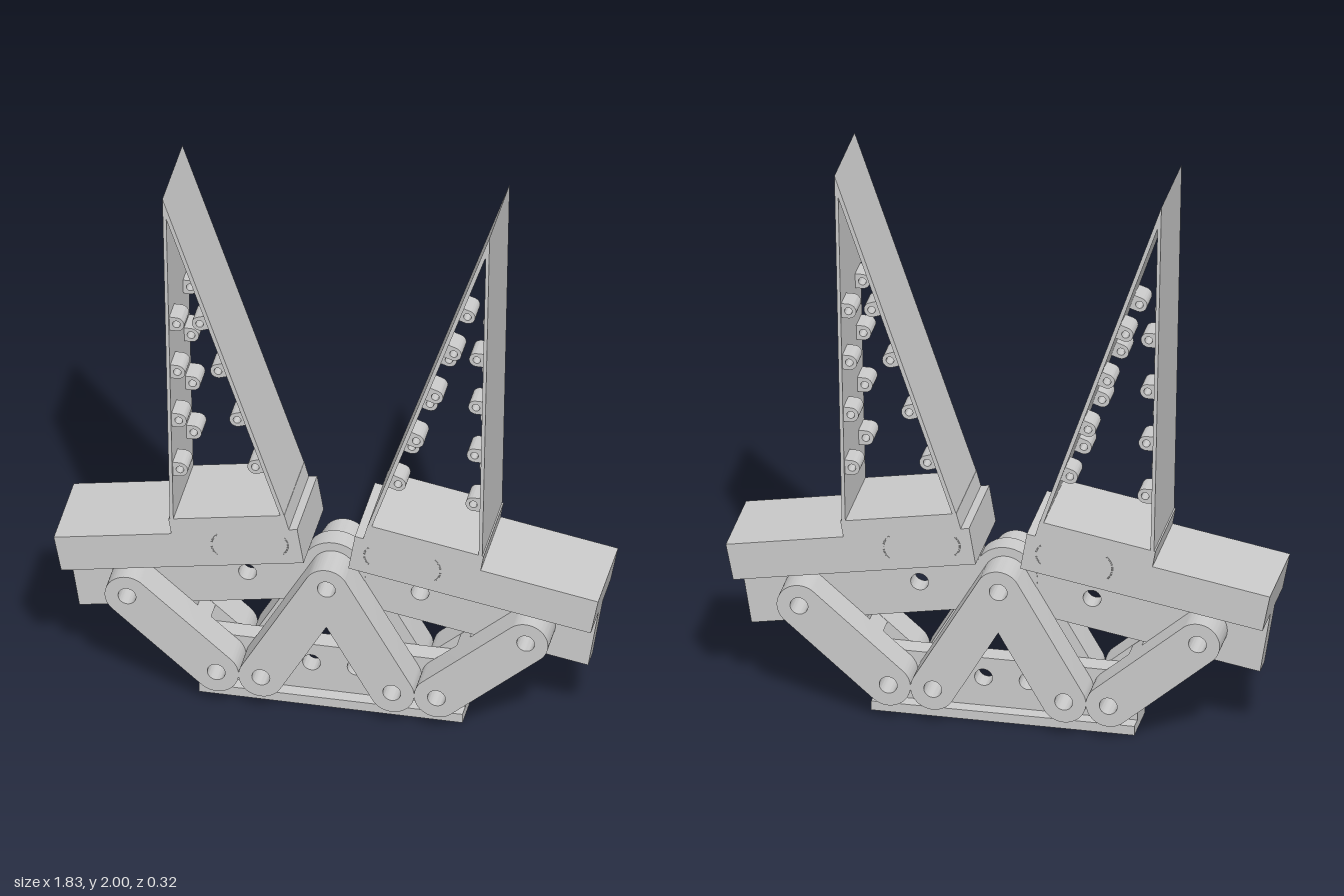
import * as THREE from 'three';
import { toCreasedNormals } from 'three/addons/utils/BufferGeometryUtils.js';

const material = new THREE.MeshStandardMaterial({ color: 0xcccccc });
const HOLE = 0.03;
const LOW = 0.136; // height of the lower pivots

function addMesh(parent, name, geometry) {
  const mesh = new THREE.Mesh(geometry, material);
  mesh.name = name;
  parent.add(mesh);
  return mesh;
}

// Closed outline, always counter-clockwise so mirrored parts face outwards
function polygon(points) {
  const pts = points.map(([x, y]) => new THREE.Vector2(x, y));
  return new THREE.Shape(THREE.ShapeUtils.isClockWise(pts) ? pts.reverse() : pts);
}

function drill(shape, x, y, r = HOLE) {
  shape.holes.push(new THREE.Path().absarc(x, y, r, 0, Math.PI * 2, true));
}

// Extrudes a front outline from z0 to z1
function slab(shape, z0, z1) {
  const g = new THREE.ExtrudeGeometry(shape, { depth: z1 - z0, bevelEnabled: false, curveSegments: 20 });
  return toCreasedNormals(g.translate(0, 0, z0), 0.6);
}

// Round-ended bar between two drilled pivots
function linkShape([ax, ay], [bx, by], r) {
  const phi = Math.atan2(by - ay, bx - ax);
  const shape = new THREE.Shape();
  shape.absarc(ax, ay, r, phi + Math.PI / 2, phi + Math.PI * 1.5, false);
  shape.absarc(bx, by, r, phi - Math.PI / 2, phi + Math.PI / 2, false);
  drill(shape, ax, ay);
  drill(shape, bx, by);
  return shape;
}

// Lug with a rounded drilled end at (x, y); angle points towards its wall
function lugShape(x, y, angle, reach) {
  const r = 0.026, c = Math.cos(angle), s = Math.sin(angle);
  const shape = new THREE.Shape();
  shape.absarc(x, y, r, angle + Math.PI / 2, angle + Math.PI * 1.5, false);
  shape.lineTo(x + c * reach + s * r, y + s * reach - c * r);
  shape.lineTo(x + c * reach - s * r, y + s * reach + c * r);
  drill(shape, x, y, 0.013);
  return shape;
}

function buildSide(s) {
  const side = new THREE.Group();
  side.name = s > 0 ? 'leftWing' : 'rightWing';
  const m = (pts) => pts.map(([x, y]) => [s * x, y]);

  // Wide tilted beam with its raised step
  addMesh(side, 'beam', slab(polygon(m([
    [0.89, 0.472], [0.915, 0.6], [0.52, 0.67], [0.53, 0.727], [0.14, 0.796],
    [0.125, 0.741], [0.097, 0.746], [0.075, 0.616],
  ])), -0.16, 0.16));

  // Narrow web under the beam
  const web = polygon(m([[0.89, 0.473], [0.855, 0.256], [0.06, 0.396], [0.085, 0.516], [0.085, 0.615]]));
  drill(web, s * 0.67, 0.396);
  drill(web, s * 0.29, 0.466);
  addMesh(side, 'beamWeb', slab(web, -0.035, 0.035));

  // Shallow curved marks on both beam faces
  for (const z of [-0.16, 0.16]) {
    for (const [x, y, r, start] of [[0.333, 0.648, 0.052, -0.9], [0.17, 0.675, 0.042, Math.PI - 0.9]]) {
      const arc = new THREE.TorusGeometry(r, 0.002, 6, 16, 1.8);
      arc.rotateZ(s > 0 ? start : Math.PI - start - 1.8).scale(1, 1, 0.4);
      addMesh(side, 'curvedMark', arc.translate(s * x, y, z));
    }
  }

  // Tall fin made from two thin walls meeting at the tip
  addMesh(side, 'fin', slab(polygon(m([
    [0.525, 0.722], [0.55, 2], [0.14, 0.793], [0.153, 0.79], [0.537, 1.92], [0.513, 0.724],
  ])), -0.16, 0.16));

  // Drilled lugs along both fin walls
  const lugs = [
    ...[[0.505, 1.5], [0.502, 1.31], [0.497, 1.118], [0.493, 0.923]].map(([x, y]) => [x, y, 0, 0.03]),
    ...[[0.427, 1.513], [0.365, 1.333], [0.301, 1.148], [0.24, 0.968]].map(([x, y]) => [x, y, Math.PI - 0.333, 0.033]),
  ];
  for (const [x, y, a, reach] of lugs) {
    const shape = lugShape(s * x, y, s > 0 ? a : Math.PI - a, reach);
    addMesh(side, 'finLug', slab(shape, 0.07, 0.15));
    addMesh(side, 'finLug', slab(shape, -0.15, -0.07));
  }

  // Support links, doubled in front of and behind the webs
  const outer = linkShape([s * 0.37, LOW], [s * 0.67, 0.396], 0.075);
  const inner = linkShape([s * 0.22, LOW], [0, 0.517], 0.075);
  for (const [z0, z1] of [[0.035, 0.155], [-0.155, -0.035]]) {
    addMesh(side, 'outerLink', slab(outer, z0, z1));
    addMesh(side, 'innerLink', slab(inner, z0, z1));
  }

  // Cross rib joining the two outer links
  const rib = addMesh(side, 'linkRib', new THREE.BoxGeometry(0.06, 0.148, 0.08));
  const angle = Math.atan2(0.26, 0.3);
  rib.position.set(s * (0.37 + 0.15 * Math.cos(angle)), LOW + 0.15 * Math.sin(angle), 0);
  rib.rotation.z = s * angle;
  return side;
}

export function createModel() {
  const model = new THREE.Group();
  model.name = 'linkageStand';

  // Base rail: foot flange and drilled web
  const foot = addMesh(model, 'baseFlange', new THREE.BoxGeometry(0.885, 0.033, 0.165));
  foot.position.y = 0.0165;
  const web = polygon([[-0.4425, 0.03], [0.4425, 0.03], [0.4425, 0.208], [-0.4425, 0.208]]);
  for (const x of [0.075, 0.22, 0.37]) {
    drill(web, x, LOW);
    drill(web, -x, LOW);
  }
  addMesh(model, 'baseWeb', slab(web, -0.035, 0.035));

  // Central hinge knuckle between the links
  const hub = new THREE.Shape().absarc(0, 0.517, 0.107, 0, Math.PI * 2, false);
  drill(hub, 0, 0.517);
  addMesh(model, 'hingeKnuckle', slab(hub, -0.037, 0.037));

  model.add(buildSide(1), buildSide(-1));
  return model;
}
